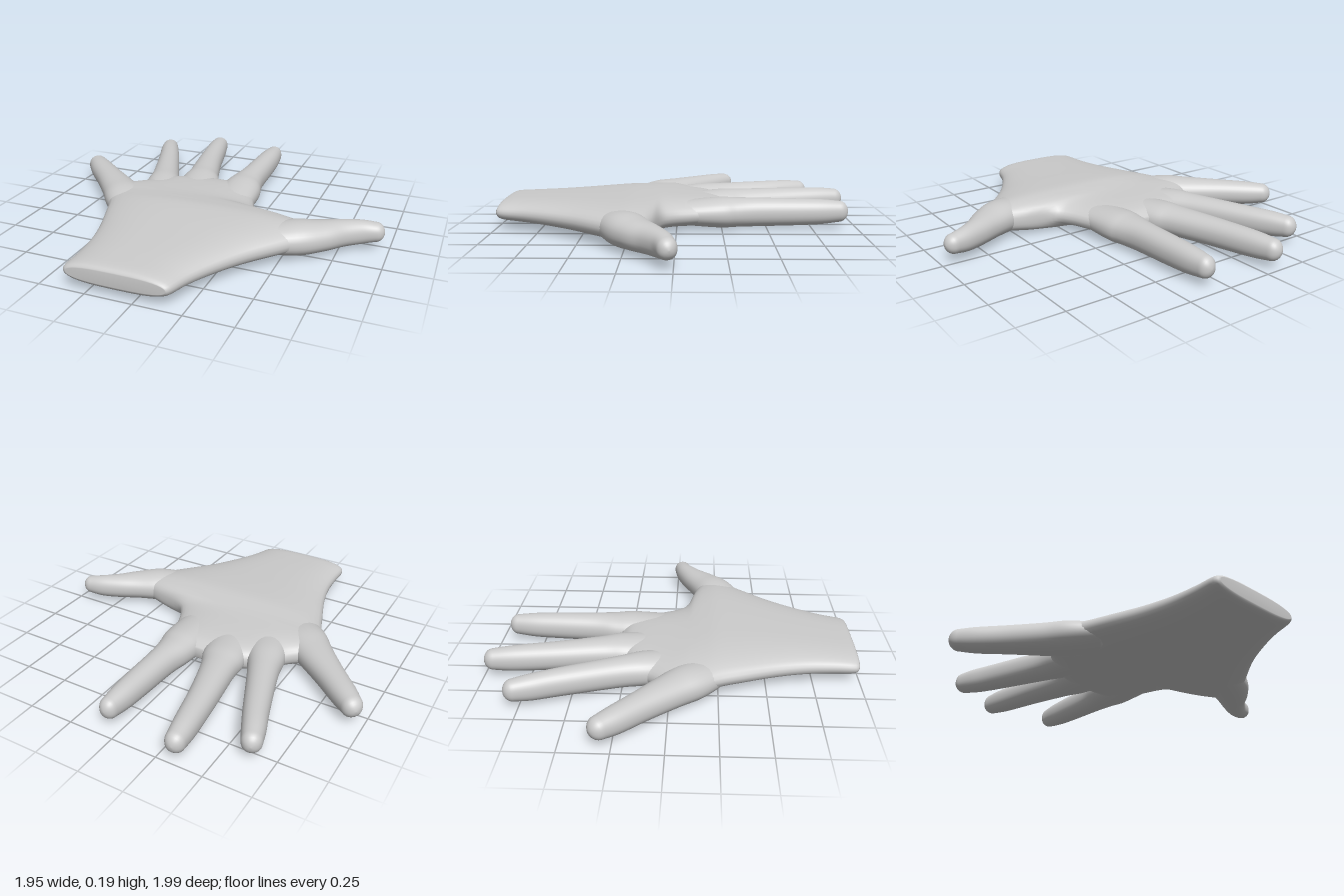
import * as THREE from 'three';

const SEG = 36;

// Smooth interpolation of rows of numbers (Catmull-Rom on every column)
function resample(rows, steps) {
  const at = i => rows[Math.min(Math.max(i, 0), rows.length - 1)];
  const out = [];
  for (let i = 0; i < rows.length - 1; i++) {
    for (let k = 0; k < steps; k++) {
      const t = k / steps;
      out.push(at(i).map((b, c) => {
        const a = at(i - 1)[c], d = at(i + 1)[c], e = at(i + 2)[c];
        return 0.5 * (2 * b + (d - a) * t + (2 * a - 5 * b + 4 * d - e) * t * t
          + (3 * b - a - 3 * d + e) * t * t * t);
      }));
    }
  }
  out.push(rows[rows.length - 1]);
  return out;
}

// Skin over cross-sections [x, z, halfWidth, bottom, top]; px, pw shape the section
function loft(rows, px, pw, heading) {
  const pos = [], idx = [];
  const pow = (v, p) => Math.sign(v) * Math.abs(v) ** p;
  rows.forEach(([x, z, w, lo, hi], i) => {
    const a = rows[Math.max(i - 1, 0)], b = rows[Math.min(i + 1, rows.length - 1)];
    const d = heading || new THREE.Vector2(b[0] - a[0], b[1] - a[1]).normalize();
    for (let j = 0; j < SEG; j++) {
      const t = j / SEG * Math.PI * 2;
      const s = w * pow(Math.cos(t), px);
      pos.push(x - d.y * s, (lo + hi) / 2 + (hi - lo) / 2 * pow(Math.sin(t), pw), z + d.x * s);
    }
  });
  for (let i = 0; i < rows.length - 1; i++) {
    for (let j = 0; j < SEG; j++) {
      const a = i * SEG + j, b = i * SEG + (j + 1) % SEG;
      idx.push(a, a + SEG, b, b, a + SEG, b + SEG);
    }
  }
  // end caps
  const n = rows.length, last = (n - 1) * SEG;
  for (const r of [rows[0], rows[n - 1]]) pos.push(r[0], (r[3] + r[4]) / 2, r[1]);
  for (let j = 0; j < SEG; j++) {
    const k = (j + 1) % SEG;
    idx.push(n * SEG, j, k, n * SEG + 1, last + k, last + j);
  }
  const g = new THREE.BufferGeometry();
  g.setAttribute('position', new THREE.Float32BufferAttribute(pos, 3));
  g.setIndex(idx);
  g.computeVertexNormals();
  return g;
}

// Finger from tip to buried root, with a rounded tip
function fingerGeometry(rows) {
  const body = resample(rows, 5);
  const [x, z, w, lo, hi] = body[0];
  const dir = new THREE.Vector2(x - body[1][0], z - body[1][1]).normalize();
  const mid = (lo + hi) / 2, h = (hi - lo) / 2, tip = [];
  for (let k = 0; k < 7; k++) {
    const a = (1 - k / 7) * Math.PI / 2 * 0.97;
    const s = Math.cos(a), f = Math.sin(a) * w;
    tip.push([x + dir.x * f, z + dir.y * f, w * s, mid - h * s, mid + h * s]);
  }
  return loft([...tip, ...body], 0.95, 0.9);
}

export function createModel() {
  const model = new THREE.Group();
  model.name = 'openHand';
  const material = new THREE.MeshStandardMaterial({ color: 0xcccccc });
  const add = (name, geometry) => {
    const mesh = new THREE.Mesh(geometry, material);
    mesh.name = name;
    model.add(mesh);
  };

  // Palm and wrist: z, left edge, right edge, bottom, top
  const palm = [
    [0.99, -0.35, 0.165, 0.065, 0.135],
    [0.965, -0.375, 0.187, 0.042, 0.155],
    [0.85, -0.376, 0.225, 0.033, 0.164],
    [0.71, -0.388, 0.297, 0.027, 0.172],
    [0.55, -0.425, 0.403, 0.02, 0.181],
    [0.38, -0.485, 0.55, 0.013, 0.191],
    [0.25, -0.535, 0.66, 0.008, 0.196],
    [0.17, -0.585, 0.63, 0.005, 0.189],
    [0.12, -0.615, 0.5, 0.004, 0.183],
    [0.08, -0.63, 0.325, 0.004, 0.179],
    [0.02, -0.63, 0.26, 0.004, 0.175],
    [-0.08, -0.51, 0.215, 0.006, 0.17],
    [-0.17, -0.43, 0.19, 0.012, 0.163],
    [-0.24, -0.31, 0.175, 0.025, 0.148],
    [-0.285, -0.2, 0.13, 0.06, 0.115],
  ].map(([z, l, r, lo, hi]) => [(l + r) / 2, z, (r - l) / 2, lo, hi]);
  add('palm', loft(resample(palm, 4), 0.65, 0.85, new THREE.Vector2(0, -1)));

  // Fingers: x, z, half width, bottom, top
  const fingers = {
    littleFinger: [
      [-0.925, -0.305, 0.056, 0.038, 0.155],
      [-0.86, -0.24, 0.067, 0.026, 0.162],
      [-0.74, -0.125, 0.078, 0.02, 0.167],
      [-0.6, 0.01, 0.1, 0.012, 0.172],
      [-0.5, 0.11, 0.12, 0.008, 0.174],
      [-0.38, 0.22, 0.12, 0.03, 0.15],
    ],
    ringFinger: [
      [-0.628, -0.772, 0.052, 0.038, 0.155],
      [-0.595, -0.69, 0.06, 0.026, 0.163],
      [-0.54, -0.56, 0.066, 0.02, 0.167],
      [-0.43, -0.275, 0.082, 0.012, 0.171],
      [-0.375, -0.12, 0.105, 0.008, 0.173],
      [-0.3, 0.08, 0.11, 0.03, 0.15],
    ],
    middleFinger: [
      [-0.329, -0.945, 0.052, 0.038, 0.155],
      [-0.31, -0.83, 0.063, 0.025, 0.164],
      [-0.265, -0.59, 0.076, 0.017, 0.168],
      [-0.215, -0.37, 0.093, 0.011, 0.171],
      [-0.185, -0.24, 0.118, 0.008, 0.173],
      [-0.13, 0.03, 0.12, 0.03, 0.15],
    ],
    indexFinger: [
      [0.078, -0.902, 0.049, 0.038, 0.155],
      [0.078, -0.8, 0.062, 0.025, 0.164],
      [0.078, -0.66, 0.069, 0.018, 0.168],
      [0.077, -0.45, 0.078, 0.012, 0.171],
      [0.075, -0.33, 0.099, 0.009, 0.172],
      [0.08, -0.22, 0.117, 0.008, 0.173],
      [0.085, 0.03, 0.12, 0.03, 0.15],
    ],
    thumb: [
      [0.922, 0.03, 0.049, 0.046, 0.152],
      [0.85, 0.053, 0.057, 0.033, 0.162],
      [0.755, 0.107, 0.073, 0.026, 0.169],
      [0.66, 0.178, 0.098, 0.02, 0.176],
      [0.54, 0.25, 0.117, 0.014, 0.185],
      [0.36, 0.33, 0.11, 0.035, 0.16],
    ],
  };
  for (const [name, rows] of Object.entries(fingers)) add(name, fingerGeometry(rows));

  return model;
}
